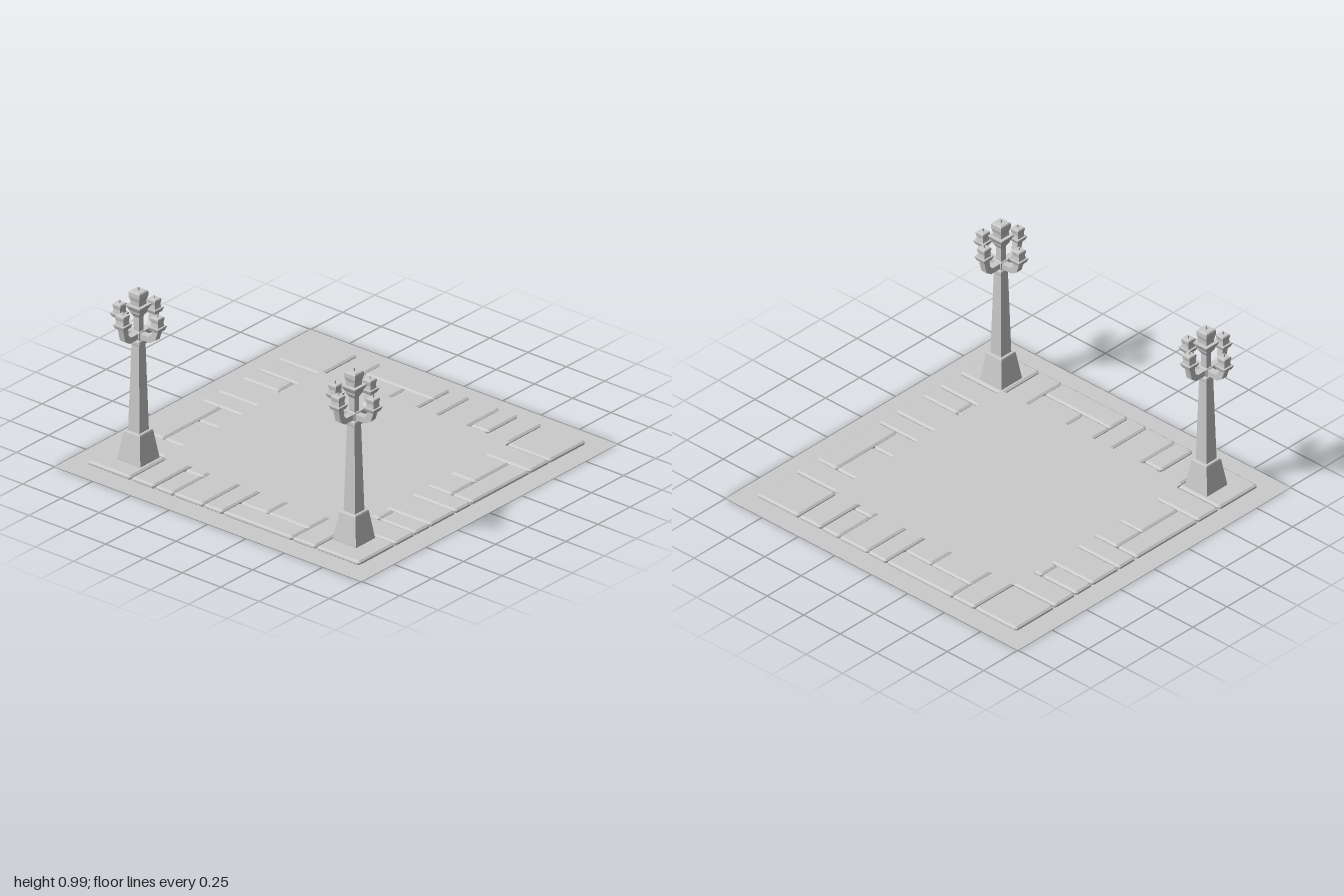
import * as THREE from 'three';

const flat = new THREE.MeshStandardMaterial({ color: 0xcccccc, flatShading: true });
const sheet = new THREE.MeshStandardMaterial({ color: 0xcccccc, side: THREE.DoubleSide });

function add(parent, name, geometry, material = flat) {
  const mesh = new THREE.Mesh(geometry, material);
  mesh.name = name;
  parent.add(mesh);
  return mesh;
}

// Square-section solid from [width, height] pairs, bottom to top
function squareTurned(profile) {
  const points = profile.map(([w, y]) => new THREE.Vector2(w * Math.SQRT1_2, y));
  return new THREE.LatheGeometry(points, 4, Math.PI / 4);
}

// Flat horizontal sheet
function square(size, y) {
  return new THREE.PlaneGeometry(size, size).rotateX(-Math.PI / 2).translate(0, y, 0);
}

// Paving stone: a slab with clipped corners and chamfered edges
function addStone(parent, x0, x1, z0, z1) {
  const bevel = 0.011, thickness = 0.008, depth = 0.01, clip = 0.004;
  const a = (x1 - x0) / 2 - bevel, b = (z1 - z0) / 2 - bevel;
  const outline = new THREE.Shape([
    [a - clip, -b], [a, clip - b], [a, b - clip], [a - clip, b],
    [clip - a, b], [-a, b - clip], [-a, clip - b], [clip - a, -b],
  ].map(([x, y]) => new THREE.Vector2(x, y)));
  const geometry = new THREE.ExtrudeGeometry(outline, {
    depth, bevelSize: bevel, bevelThickness: thickness, bevelSegments: 1,
  }).rotateX(-Math.PI / 2);
  const stone = add(parent, 'pavingStone', geometry);
  stone.position.set((x0 + x1) / 2, thickness + 0.0005, (z0 + z1) / 2);
}

// One side of the paved border plus its corner slab
const stones = [
  [-0.6, -0.452, 0.58, 0.887],
  [-0.446, -0.328, 0.58, 0.65], [-0.446, -0.328, 0.652, 0.887],
  [-0.326, -0.134, 0.58, 0.887],
  [-0.13, -0.006, 0.58, 0.887],
  [-0.001, 0.448, 0.754, 0.887],
  [-0.001, 0.178, 0.58, 0.752], [0.18, 0.448, 0.58, 0.752],
  [0.45, 0.6, 0.58, 0.887],
  [0.606, 0.887, 0.606, 0.887],
];

// Upturned arm, drawn in x/y and extruded through z
function armGeometry(top) {
  const s = new THREE.Shape();
  s.moveTo(0, 0.707);
  s.lineTo(0.09, 0.707);
  s.lineTo(0.124, 0.73);
  s.lineTo(0.142, top);
  s.lineTo(0.104, top);
  s.lineTo(0.097, 0.755);
  s.lineTo(0.08, 0.738);
  s.lineTo(0, 0.738);
  s.closePath();
  const depth = 0.036;
  return new THREE.ExtrudeGeometry(s, { depth, bevelEnabled: false }).translate(0, 0, -depth / 2);
}

const sideLantern = [
  [0, 0], [0.054, 0], [0.068, 0.018], [0.068, 0.023], [0.048, 0.023],
  [0.044, 0.045], [0.051, 0.064], [0.051, 0.071], [0.044, 0.075], [0.007, 0.076],
  [0.006, 0.091], [0, 0.091],
];
const topLantern = [
  [0, 0.845], [0.06, 0.845], [0.066, 0.86], [0.092, 0.884], [0.092, 0.891], [0.056, 0.891],
  [0.058, 0.915], [0.07, 0.937], [0.07, 0.961], [0.06, 0.967], [0.008, 0.968],
  [0.006, 0.985], [0, 0.985],
];

function createLamp() {
  const lamp = new THREE.Group();
  lamp.name = 'streetLamp';
  add(lamp, 'pedestal', squareTurned([[0.15, 0.02], [0.148, 0.035], [0.105, 0.182], [0.098, 0.188], [0, 0.188]]));
  add(lamp, 'post', squareTurned([[0.074, 0.185], [0.05, 0.672]]));
  add(lamp, 'collar', squareTurned([[0.05, 0.672], [0.066, 0.674], [0.07, 0.679], [0.07, 0.696], [0.064, 0.701], [0, 0.702]]));
  add(lamp, 'stem', squareTurned([[0.05, 0.7], [0.05, 0.742], [0.036, 0.746], [0.036, 0.825], [0.06, 0.846]]));
  add(lamp, 'topLantern', squareTurned(topLantern));
  for (let i = 0; i < 4; i++) {
    // The front and back lanterns sit a little higher than the side pair
    const top = i % 2 ? 0.803 : 0.784;
    const branch = new THREE.Group();
    branch.name = 'lampBranch';
    branch.rotation.y = i * Math.PI / 2;
    add(branch, 'arm', armGeometry(top));
    add(branch, 'sideLantern', squareTurned(sideLantern)).position.set(0.123, top - 0.001, 0);
    lamp.add(branch);
  }
  return lamp;
}

export function createModel() {
  const model = new THREE.Group();
  model.name = 'plaza';
  add(model, 'ground', square(2, 0), sheet);

  const plaza = new THREE.Group();
  plaza.name = 'pavedSquare';
  plaza.position.z = -0.004;
  model.add(plaza);
  add(plaza, 'centreFloor', square(1.235, 0.034), sheet);

  // Four turns of the same border
  for (let i = 0; i < 4; i++) {
    const side = new THREE.Group();
    side.name = 'pavingBorder';
    side.rotation.y = i * Math.PI / 2;
    for (const s of stones) addStone(side, ...s);
    plaza.add(side);
  }

  // Lamps on the two front corners
  for (const x of [-0.705, 0.701]) {
    const lamp = createLamp();
    lamp.position.set(x, 0, 0.703);
    plaza.add(lamp);
  }
  return model;
}
